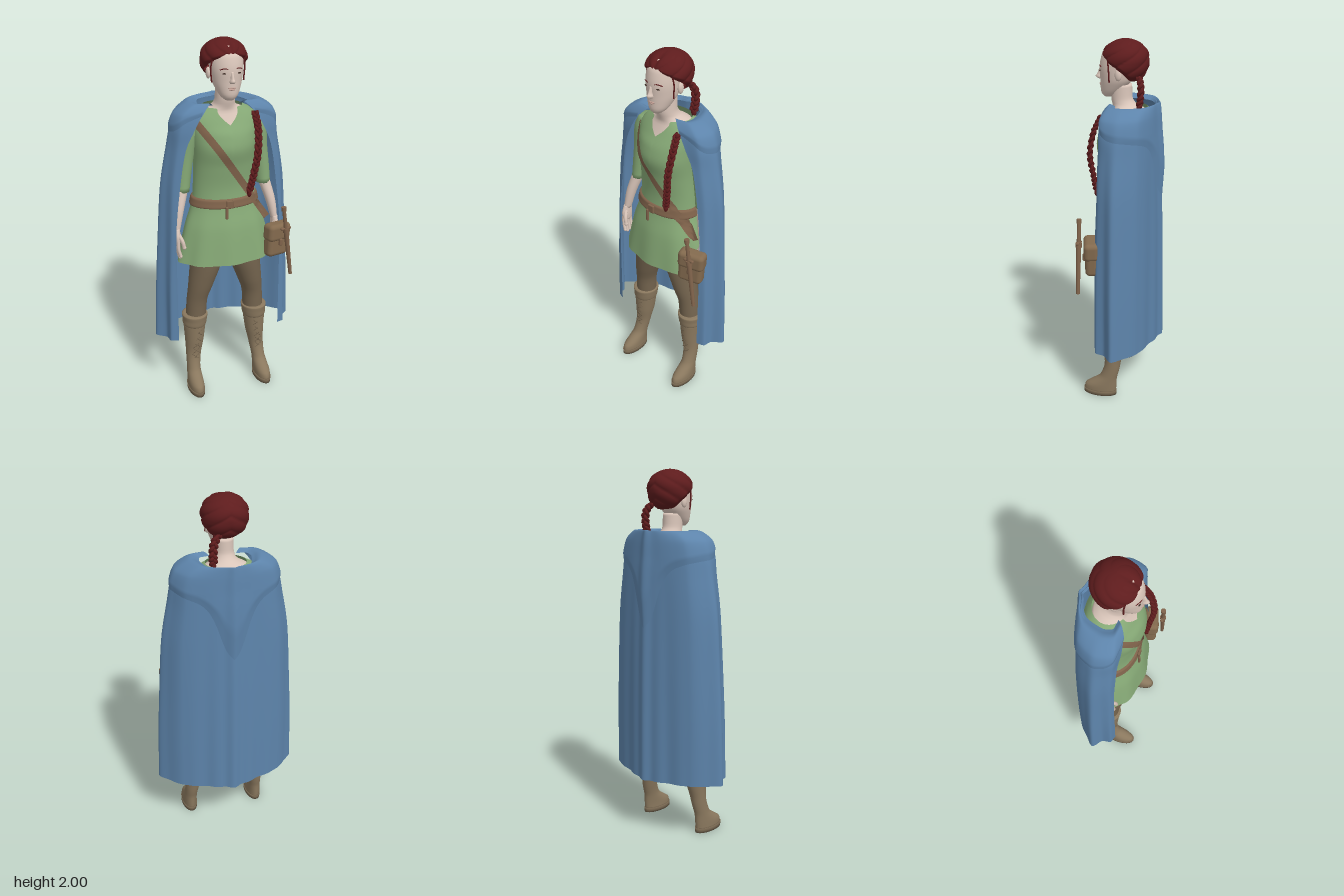
import * as THREE from 'three';
import { RoundedBoxGeometry } from 'three/addons/geometries/RoundedBoxGeometry.js';

const mat = (name, color, side = THREE.FrontSide) => {
  const m = new THREE.MeshStandardMaterial({ color, side });
  m.name = name;
  return m;
};

// Smooth interpolation of rows keyed by their first number, without overshoot
function spline(rows, key) {
  let i = 0;
  while (i < rows.length - 2 && key > rows[i + 1][0]) i++;
  const h = rows[i + 1][0] - rows[i][0];
  const f = THREE.MathUtils.clamp((key - rows[i][0]) / h, 0, 1);
  return rows[i].map((p, c) => {
    const slope = (j) => (rows[j + 1][c] - rows[j][c]) / (rows[j + 1][0] - rows[j][0]);
    const tangent = (j) => {
      if (j === 0) return slope(0);
      if (j === rows.length - 1) return slope(j - 1);
      const a = slope(j - 1), b = slope(j);
      return a * b <= 0 ? 0 : (2 * a * b) / (a + b);
    };
    const q = rows[i + 1][c], f2 = f * f, f3 = f2 * f;
    return p * (2 * f3 - 3 * f2 + 1) + q * (3 * f2 - 2 * f3)
      + h * (tangent(i) * (f3 - 2 * f2 + f) + tangent(i + 1) * (f3 - f2));
  });
}

// Surface from point(u, v): u runs rightwards seen from outside, v runs up
function grid(point, nu, nv, wrap) {
  const pos = [], idx = [], cols = wrap ? nu : nu + 1;
  for (let j = 0; j <= nv; j++)
    for (let i = 0; i < cols; i++) pos.push(...point(i / nu, j / nv));
  for (let j = 0; j < nv; j++)
    for (let i = 0; i < nu; i++) {
      const a = j * cols + i, b = j * cols + ((i + 1) % cols);
      idx.push(a, b, b + cols, a, b + cols, a + cols);
    }
  const g = new THREE.BufferGeometry();
  g.setAttribute('position', new THREE.Float32BufferAttribute(pos, 3));
  g.setIndex(idx);
  g.computeVertexNormals();
  return g;
}

// Closed body through horizontal ellipses [y, x, z, rx, rz], lowest first
function loft(rings, nv = 16, nu = 28) {
  const y0 = rings[0][0], y1 = rings[rings.length - 1][0], n = nv + 2;
  return grid((u, v) => {
    const j = Math.round(v * n), k = THREE.MathUtils.clamp((j - 1) / nv, 0, 1);
    const [y, x, z, rx, rz] = spline(rings, y0 + (y1 - y0) * k);
    const s = j === 0 || j === n ? 0 : 1, a = u * Math.PI * 2;
    return [x + s * rx * Math.sin(a), y, z + s * rz * Math.cos(a)];
  }, nu, n, true);
}

const curve = (pts) => new THREE.CatmullRomCurve3(pts.map((p) => new THREE.Vector3(...p)));
const tube = (pts, r, n = 12) => new THREE.TubeGeometry(curve(pts), n, r, 7);

export function createModel() {
  const model = new THREE.Group();
  const skin = mat('skin', 0xdac6ba), lips = mat('lips', 0xbd9b90), dark = mat('dark lines', 0x3a2a22);
  const red = mat('hair red', 0x5e1c1d, THREE.DoubleSide);
  const blue = mat('cape blue', 0x5d84ab, THREE.DoubleSide);
  const green = mat('tunic green', 0x86a976, THREE.DoubleSide);
  const leather = mat('leather', 0x80634b, THREE.DoubleSide);
  const bag = mat('bag leather', 0x836a4e);
  const trousers = mat('trouser brown', 0x75654f), boots = mat('boot tan', 0x8a785e);
  const add = (name, geo, m, at = [0, 0, 0], scale = [1, 1, 1]) => {
    const mesh = new THREE.Mesh(geo, m);
    mesh.name = name;
    mesh.position.set(...at);
    mesh.scale.set(...scale);
    model.add(mesh);
    return mesh;
  };
  const ball = (name, m, at, scale) => add(name, new THREE.SphereGeometry(1, 18, 12), m, at, scale);

  // Head, neck and chest
  add('head', loft([[1.703, 0, .1, .022, .026], [1.72, 0, .094, .043, .046], [1.76, 0, .075, .064, .07],
    [1.8, 0, .06, .078, .086], [1.86, 0, .055, .086, .093], [1.92, 0, .04, .088, .095], [1.97, 0, .02, .065, .07]], 24, 36), skin);
  add('neck', loft([[1.5, 0, .03, .165, .12], [1.58, 0, .0, .178, .1], [1.63, 0, -.008, .12, .085],
    [1.66, 0, .015, .062, .065], [1.7, 0, .033, .051, .056], [1.77, 0, .035, .05, .055]], 20, 36), skin);
  add('nose', loft([[1.793, 0, .146, .012, .01], [1.803, 0, .148, .015, .026], [1.815, 0, .146, .01, .02],
    [1.85, 0, .141, .008, .01]], 10, 14), skin);
  ball('upperLip', lips, [0, 1.769, .143], [.021, .004, .008]);
  ball('lowerLip', lips, [0, 1.761, .141], [.017, .005, .009]);

  // Hair cap: parted over the forehead, lower at the back, combed into locks
  const hairline = [[0, 1.12], [.7, 1.4], [1.57, 1.9], [2.2, 2.45], [Math.PI, 2.55]];
  add('hair', grid((u, v) => {
    const a = u * Math.PI * 2, b = Math.min(a, Math.PI * 2 - a);
    const phi = spline(hairline, b)[1] * (1 - v);
    const lock = Math.sqrt(Math.abs(Math.sin(3 * b + 5 * phi)));
    const round = Math.sin(phi) * (1 + .12 * Math.sin(phi) * Math.max(0, Math.cos(phi)));
    const s = round * (1 + .07 * (lock - .8)) * (1 - .1 * Math.max(0, 1 - v * 10));
    const part = .016 * Math.exp(-((s * Math.sin(a) / .12) ** 2)) * Math.max(0, Math.cos(a)) * Math.sin(phi);
    return [.12 * s * Math.sin(a), 1.885 + .115 * Math.cos(phi) - part, .015 + .123 * s * Math.cos(a)];
  }, 144, 44, true), red);

  // Plaits made of three woven strands
  const braid = (name, pts, r, turns) => {
    const path = curve(pts);
    for (let k = 0; k < 3; k++) {
      const strand = [];
      for (let i = 0; i <= turns * 12; i++) {
        const t = i / (turns * 12), q = Math.PI * 2 * (t * turns + k / 3), p = path.getPoint(t);
        strand.push([p.x + r * Math.cos(q), p.y, p.z + r * .6 * Math.sin(2 * q)]);
      }
      add(name, tube(strand, r * .72, turns * 20), red);
    }
    const end = pts[pts.length - 1];
    ball(name + 'End', red, [end[0], end[1] - .01, end[2]], [r, r * 1.8, r]);
  };
  braid('backBraid', [[.055, 1.82, -.07], [.08, 1.78, -.085], [.085, 1.72, -.085], [.082, 1.675, -.078]], .014, 2);
  braid('frontBraid', [[.138, 1.63, .108], [.143, 1.55, .145], [.133, 1.42, .172], [.115, 1.3, .16], [.098, 1.21, .15]], .012, 5);

  // Tunic with a V neckline
  const tunicRings = [[.81, .03, .272, .162], [1, .026, .225, .142], [1.15, .018, .178, .117], [1.22, .018, .172, .113],
    [1.35, .02, .167, .125], [1.45, .02, .172, .145], [1.52, .006, .18, .145], [1.58, -.01, .19, .127],
    [1.63, -.014, .15, .104], [1.66, -.01, .09, .085]];
  add('tunic', grid((u, v) => {
    const a = u * Math.PI * 2, b = Math.min(a, Math.PI * 2 - a);
    const top = 1.652 - .08 * Math.max(0, 1 - b / .5);
    const [y, z, rx, rz] = spline(tunicRings, .81 + (top - .81) * v);
    const flare = 1 + .025 * Math.max(0, 1 - v * 2.5) * Math.cos(a * 9);
    return [rx * Math.sin(a) * flare, y, z + rz * Math.cos(a) * flare];
  }, 80, 44, true), green);

  // Belt, buckle and shoulder strap
  add('belt', loft([[1.122, 0, .02, .178, .11], [1.127, 0, .02, .194, .13], [1.15, 0, .02, .19, .126],
    [1.17, 0, .02, .185, .122], [1.176, 0, .02, .172, .108]], 14, 48), leather);
  add('buckle', new RoundedBoxGeometry(.04, .045, .014, 2, .005), leather, [-.01, 1.148, .149]);
  add('beltTail', new RoundedBoxGeometry(.014, .07, .012, 2, .004), leather, [-.03, 1.105, .157]);
  for (const side of [1, -1]) add('shoulderStrap', grid((u, v) => {
    const w = (v - .5) * .038, x = -.165 + .4 * u + .82 * w, y = 1.585 - .57 * u + .57 * w;
    const [, z, rx, rz] = spline(tunicRings, y);
    const lift = Math.abs(y - 1.148) < .04 ? .017 : .01;
    return [x, y, z + side * (rz * Math.sqrt(Math.max(.05, 1 - (x / rx) ** 2)) + lift)];
  }, 40, 4), leather);

  // Pouch with flap
  const pouch = new THREE.Group();
  pouch.name = 'pouch';
  [[.138, .185, .07, 0, 0], [.148, .1, .08, .048, .002], [.02, .04, .088, -.005, .004]].forEach(([w, h, d, y, z], i) => {
    const part = new THREE.Mesh(new RoundedBoxGeometry(w, h, d, 3, i < 2 ? .025 : .007), i < 2 ? bag : leather);
    part.position.set(0, y, z);
    part.name = ['pouchBody', 'pouchFlap', 'pouchClasp'][i];
    pouch.add(part);
  });
  pouch.position.set(.268, .9, .133);
  pouch.rotation.set(0, .3, -.06);
  model.add(pouch);

  // Sheathed dagger hanging in front of the pouch
  const dagger = new THREE.Group();
  dagger.name = 'dagger';
  [[.014, .01, .27, -.07], [.017, .017, .025, .068], [.01, .011, .12, .13], [.014, .014, .022, .197]].forEach(([rt, rb, h, y], i) => {
    const part = new THREE.Mesh(new THREE.CylinderGeometry(rt, rb, h, 12), leather);
    part.position.y = y;
    part.name = ['sheath', 'sheathMouth', 'grip', 'pommel'][i];
    dagger.add(part);
  });
  const guard = new THREE.Mesh(new RoundedBoxGeometry(.06, .014, .018, 2, .005), leather);
  guard.position.y = .08;
  guard.name = 'guard';
  dagger.add(guard);
  dagger.position.set(.308, .905, .193);
  dagger.rotation.z = .13;
  model.add(dagger);

  // Mirrored parts
  for (const s of [1, -1]) {
    const side = (rings) => rings.map(([y, x, ...rest]) => [y, s * x, ...rest]);
    const flip = (pts) => pts.map(([x, y, z]) => [s * x, y, z]);
    // Face details
    ball('ear', skin, [s * .088, 1.83, .03], [.012, .03, .018]);
    ball('eye', dark, [s * .035, 1.842, .137], [.015, .004, .005]);
    add('eyebrow', tube(flip([[.014, 1.861, .143], [.035, 1.867, .14], [.058, 1.86, .125]]), .0025), red);
    add('hairWisp', tube(flip([[.085, 1.9, .085], [.09, 1.86, .08], [.085, 1.79, .078]]), .004), red);
    // Arm, hand and sleeve
    add('sleeve', loft(side([[1.205, .232, .01, .039, .042], [1.28, .224, .004, .042, .046], [1.42, .205, 0, .046, .052],
      [1.53, .187, 0, .055, .058], [1.6, .165, 0, .045, .045]])), green);
    add('forearm', loft(side([[1, .282, .06, .018, .024], [1.1, .265, .045, .027, .03], [1.22, .234, .012, .034, .036]])), skin);
    add('palm', loft(side([[.925, .283, .066, .014, .034], [.97, .284, .064, .019, .036], [1.015, .282, .06, .018, .025]])), skin);
    for (let f = 0; f < 4; f++) {
      const z = .04 + f * .018, drop = [.865, .852, .85, .862][f];
      add('finger', tube(flip([[.283, .95, z], [.282, .9, z + .002], [.272, drop, z + .003]]), .0095), skin);
      ball('fingertip', skin, [s * .272, drop, z + .003], [.0095, .0095, .0095]);
    }
    add('thumb', tube(flip([[.277, .985, .08], [.262, .95, .1], [.254, .915, .104]]), .011), skin);
    ball('thumbTip', skin, [s * .254, .915, .104], [.011, .012, .011]);
    // Leg and boot
    add('leg', loft(side([[.42, .175, .03, .058, .06], [.55, .167, .035, .058, .062], [.65, .145, .042, .07, .075],
      [.8, .112, .04, .09, .095], [.95, .1, .035, .098, .1]])), trousers);
    add('boot', loft(side([[.018, .205, .115, .043, .094], [.05, .205, .112, .043, .093], [.08, .204, .092, .041, .074],
      [.12, .202, .064, .038, .05], [.2, .195, .042, .043, .045], [.3, .186, .033, .054, .06], [.4, .182, .03, .064, .067]]), 28), boots);
    add('bootCuff', loft(side([[.385, .182, .03, .06, .064], [.4, .182, .03, .067, .071], [.43, .18, .03, .07, .074],
      [.458, .18, .03, .073, .077], [.464, .18, .03, .062, .066]])), boots);
    add('sole', loft(side([[0, .205, .115, .045, .097], [.026, .205, .115, .046, .098]]), 2), trousers);
    for (let i = 0; i < 6; i++) for (const d of [1, -1]) {
      const y = .14 + i * .04, cx = .2 - .1 * (y - .12), z = .09 + .01 * i / 6 - .004;
      add('bootLace', tube(flip([[cx - d * .02, y, z - .006], [cx, y + .018, z], [cx + d * .02, y + .036, z - .006]]), .0025, 4), trousers);
    }
  }

  // Cape: rows of [key, y, half width, front z, back z, front edge x]
  const capeRows = [[0, .348, .403, .116, -.205, .3], [1, .65, .392, .112, -.201, .3], [2, .95, .373, .106, -.195, .298],
    [3, 1.24, .35, .1, -.185, .27], [4, 1.45, .312, .1, -.176, .234], [5, 1.55, .291, .105, -.168, .19],
    [6, 1.625, .262, .1, -.163, .145], [7, 1.678, .175, .068, -.157, .09], [8, 1.666, .136, .05, -.15, .07]];
  // The section is pinched into side folds at the hem and round at the shoulders
  const capePoint = (s, t, off) => {
    const [, y, rx, zf, zb, ex] = spline(capeRows, t), q = Math.abs(s), w = Math.min(1, t / 5);
    const [, x, z] = spline([[-.12, -rx * .15, zb * .93], [0, 0, zb], [.12, rx * .15, zb * .93], [.27, rx * .36, zb * (.8 + .08 * w)],
      [.5, rx * (.7 + .08 * w), zb * (.58 + .06 * w)], [.62, rx * (.87 + .07 * w), zb * .28], [.72, rx, 0],
      [.81, rx * (.87 + .1 * w), zf * .45], [.9, rx * (.85 + .03 * w), zf * .85], [1, ex, zf]], q);
    const k = 1 + .05 * Math.max(0, 1 - t / 4.5) * (Math.cos(q * 32) - 1) * .5 * Math.max(0, 1 - q * 1.4);
    const len = Math.hypot(x, z) || 1;
    return [Math.sign(s) * x * (k + off / len), y - .025 * (1 - q) * Math.max(0, 1 - t / 3) + (t > 5 ? off * .6 * Math.min(1, t - 5) : 0),
      z * (k + off / len)];
  };
  add('cape', grid((u, v) => capePoint(1 - 2 * u, v * 8, 0), 160, 48), blue);

  // Hood lying over the shoulders, falling to a point at the back
  const hoodEdge = [[0, 2.75], [.08, 2.9], [.22, 3.6], [.4, 4.4], [.6, 4.75], [.8, 4.95], [1, 6]];
  add('hood', grid((u, v) => {
    const s = 1 - 2 * u, q = Math.abs(s), low = spline(hoodEdge, q)[1];
    const off = (.009 + .008 * Math.max(0, 1 - q * 2.5)) * Math.min(1, v * 8) * (1 - .3 * v);
    return capePoint(s, low + (8 - low) * v, off + .001);
  }, 120, 32), blue);

  return model;
}
